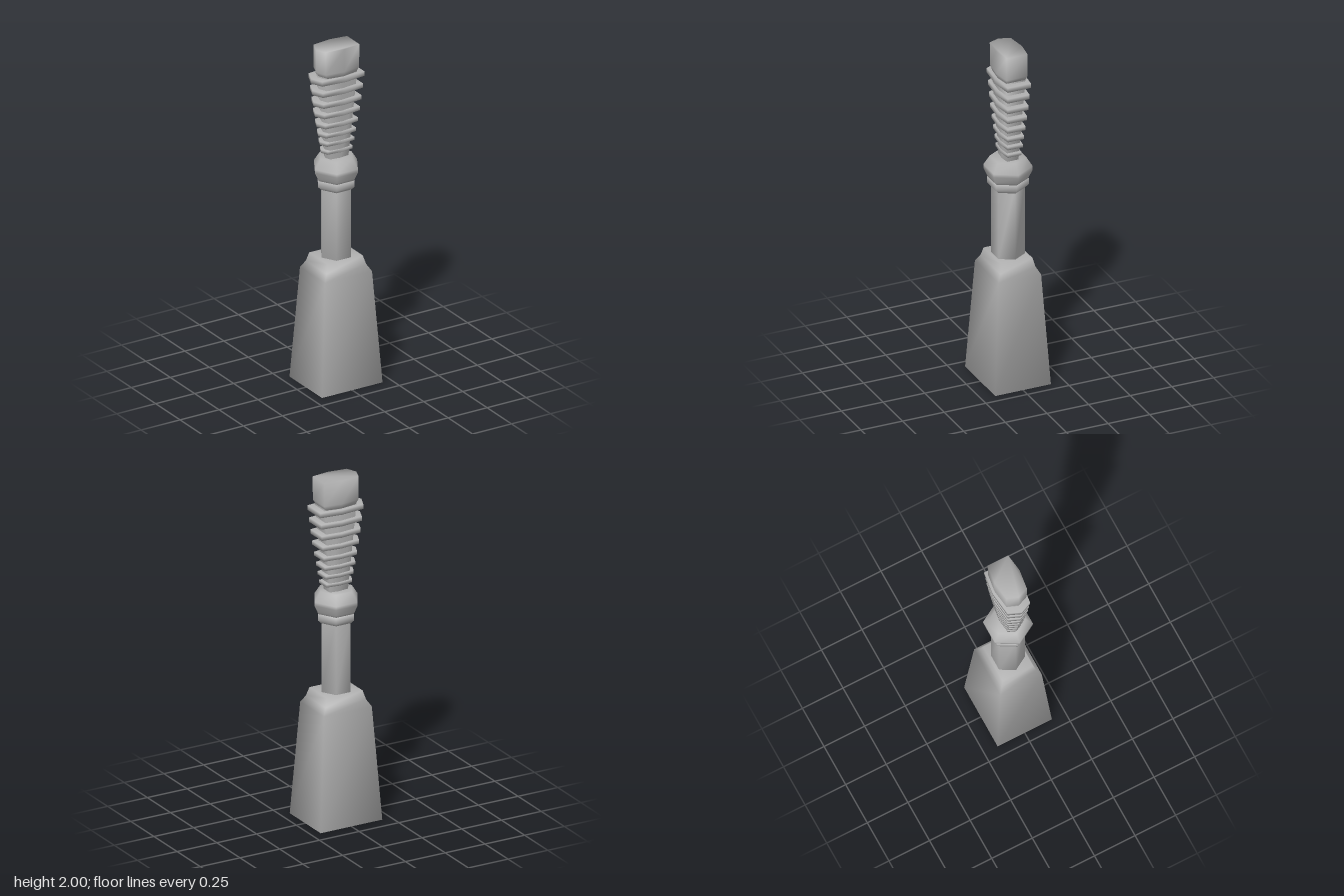
import * as THREE from 'three';

// Outlines run counter-clockwise seen from above, as [x, z].
const square = [[1, 1], [1, -1], [-1, -1], [-1, 1]];
const hexagon = Array.from({ length: 6 }, (_, i) => [Math.cos(i * Math.PI / 3), -Math.sin(i * Math.PI / 3)]);
const gripOutline = [[0.14, 0.067], [0.14, -0.072], [0.01, -0.088], [-0.13, -0.072],
  [-0.16, 0], [-0.13, 0.067], [0.01, 0.083]];

// Closed, smooth-shaded loft: each level is [y, scaleX, scaleZ].
function loft(outline, levels) {
  const n = outline.length, positions = [], index = [];
  for (const [y, sx, sz = sx] of levels) {
    for (const [x, z] of outline) positions.push(x * sx, y, z * sz);
  }
  for (let l = 0; l < levels.length - 1; l++) {
    for (let i = 0; i < n; i++) {
      const a = l * n + i, b = l * n + (i + 1) % n;
      index.push(a, b, b + n, a, b + n, a + n);
    }
  }
  const top = (levels.length - 1) * n;
  for (let i = 1; i < n - 1; i++) {
    index.push(0, i + 1, i);
    index.push(top, top + i, top + i + 1);
  }
  const geometry = new THREE.BufferGeometry();
  geometry.setAttribute('position', new THREE.Float32BufferAttribute(positions, 3));
  geometry.setIndex(index);
  geometry.computeVertexNormals();
  return geometry;
}

export function createModel() {
  const model = new THREE.Group();
  model.name = 'hammerTool';
  const grey = new THREE.MeshStandardMaterial({ color: 0xb0b0b0 });
  grey.name = 'grey';

  const add = (name, outline, levels, parent = model) => {
    const mesh = new THREE.Mesh(loft(outline, levels), grey);
    mesh.name = name;
    parent.add(mesh);
  };

  // Heavy tapered block with a stepped shoulder
  add('block', square, [[0, 0.194, 0.167], [0.66, 0.151, 0.128], [0.7, 0.127, 0.106], [0.75, 0.113, 0.094]]);

  // Six-sided shaft and its two collars
  add('shaft', hexagon, [[0.74, 0.092], [1.2, 0.092]]);
  add('lowerCollar', hexagon, [[1.155, 0.094], [1.175, 0.114], [1.212, 0.114]]);
  add('upperCollar', hexagon, [[1.205, 0.108], [1.225, 0.117], [1.265, 0.135], [1.285, 0.135], [1.34, 0.099]]);

  // Tapered grip with ribs that widen upwards
  add('gripCore', gripOutline, [[1.33, 0.42, 0.48], [1.84, 0.74, 0.78]]);
  const ribs = new THREE.Group();
  ribs.name = 'gripRibs';
  model.add(ribs);
  [[1.385, 0.59], [1.436, 0.645], [1.49, 0.705], [1.549, 0.77], [1.614, 0.84], [1.68, 0.9], [1.749, 0.945], [1.82, 1]]
    .forEach(([y, s], i) => {
      const half = 0.009 + i * 0.0007;
      add('rib' + (i + 1), gripOutline, [[y - half, s], [y + half, s]], ribs);
    });

  // Pommel with a chamfered underside
  add('pommel', gripOutline, [[1.835, 0.69, 0.78], [1.865, 0.79, 0.9], [2, 0.8, 0.91]]);

  return model;
}
